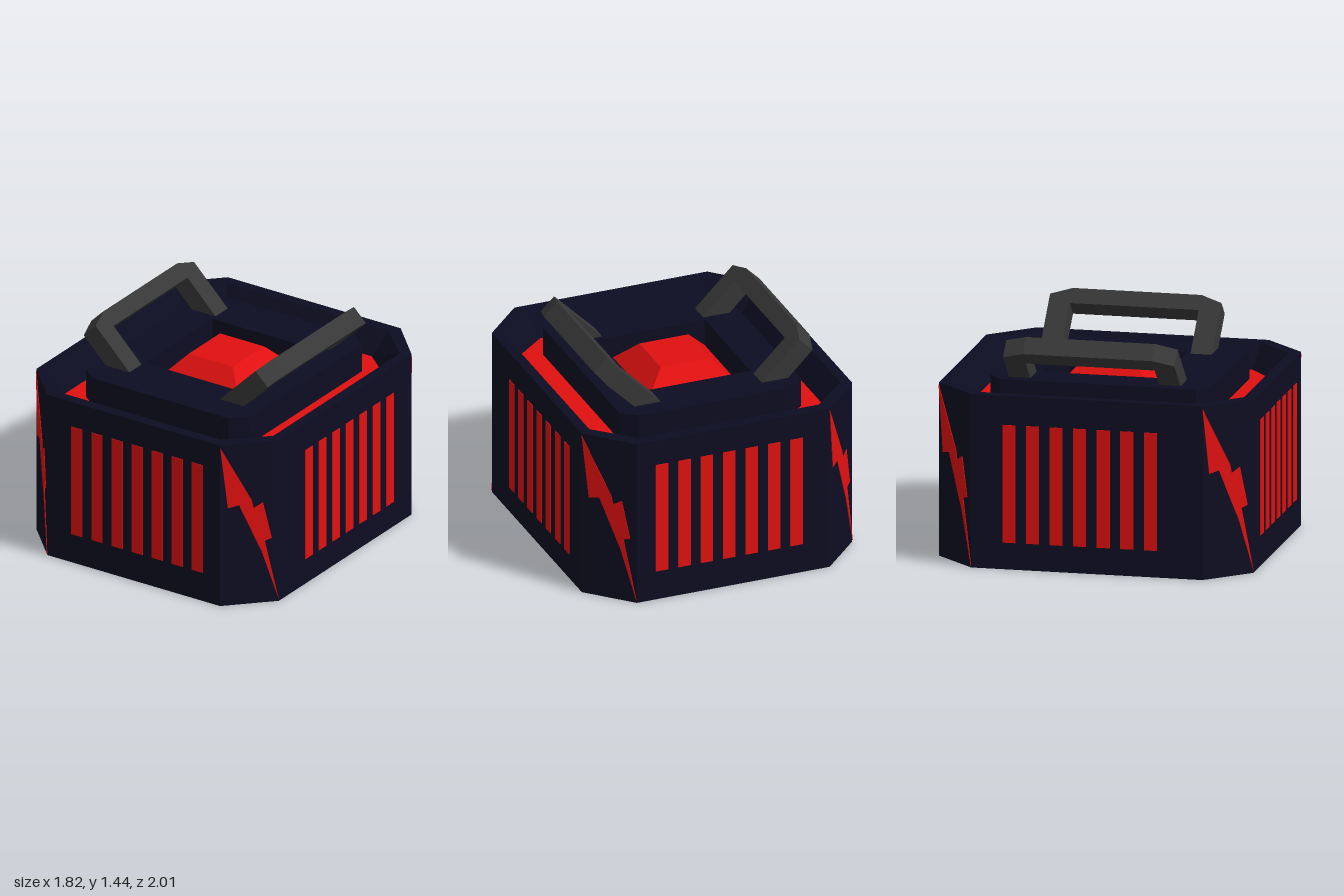
import * as THREE from 'three';

const mat = (name, color) => new THREE.MeshStandardMaterial({ name, color });

// Octagon outline with half extents ax, az and chamfers starting at cx, cz
const octagon = (ax, az, cx, cz) => [
  [-ax, cz], [-cx, az], [cx, az], [ax, cz], [ax, -cz], [cx, -az], [-cx, -az], [-ax, -cz]];

const rect = (x0, x1, z0, z1) => [[x0, z1], [x1, z1], [x1, z0], [x0, z0]];

// Flat-faced skin through rings of [outline, y], optionally closed at the ends
function loft(rings, capBottom, capTop) {
  const v = [];
  const p = (r, i) => {
    const [outline, y] = rings[r];
    const [x, z] = outline[i % outline.length];
    return [x, y, z];
  };
  const n = rings[0][0].length;
  for (let r = 0; r + 1 < rings.length; r++) {
    for (let i = 0; i < n; i++) {
      v.push(...p(r, i), ...p(r, i + 1), ...p(r + 1, i + 1));
      v.push(...p(r, i), ...p(r + 1, i + 1), ...p(r + 1, i));
    }
  }
  const last = rings.length - 1;
  for (let i = 1; i + 1 < n; i++) {
    if (capBottom) v.push(...p(0, 0), ...p(0, i + 1), ...p(0, i));
    if (capTop) v.push(...p(last, 0), ...p(last, i), ...p(last, i + 1));
  }
  const g = new THREE.BufferGeometry();
  g.setAttribute('position', new THREE.Float32BufferAttribute(v, 3));
  g.computeVertexNormals();
  return g;
}

const toShape = (pts) => new THREE.Shape(pts.map(([x, y]) => new THREE.Vector2(x, y)));
const extrude = (shape, depth) =>
  new THREE.ExtrudeGeometry(shape, { depth, bevelEnabled: false });

export function createModel() {
  const navy = mat('navy', 0x0d0d22);
  const red = mat('red', 0xe01010);
  const grey = mat('darkGrey', 0x373737);

  const model = new THREE.Group();
  model.name = 'case';
  const add = (name, geometry, material) => {
    const mesh = new THREE.Mesh(geometry, material);
    mesh.name = name;
    model.add(mesh);
    return mesh;
  };

  const FLOOR = 0.95, RIM = 1.105, DECK = 1.137;
  const outer = octagon(0.905, 1, 0.645, 0.735);
  const channel = octagon(0.74, 0.835, 0.54, 0.67);

  // Body shell, rim and sloped inner wall
  add('body', loft([
    [outer, 0], [outer, RIM], [octagon(0.84, 0.93, 0.6, 0.7), RIM], [channel, FLOOR],
  ], true, false), navy);

  // Red channel floor
  add('channelFloor', loft([[channel, FLOOR]], false, true), red);

  // Raised deck with a rectangular well
  const deckShape = toShape(octagon(0.608, 0.705, 0.508, 0.625).map(([x, z]) => [x, -z]));
  deckShape.holes.push(new THREE.Path(
    rect(-0.36, 0.36, -0.405, 0.345).map(([x, z]) => new THREE.Vector2(x, -z))));
  const deck = extrude(deckShape, DECK - FLOOR);
  deck.rotateX(-Math.PI / 2).translate(0, FLOOR, 0);
  add('deck', deck, navy);

  // Truncated pyramid button in the well
  add('button', loft([
    [rect(-0.36, 0.36, -0.4, 0.34), FLOOR + 0.01],
    [rect(-0.168, 0.16, -0.205, 0.14), 1.17],
  ], false, true), red);

  // Folded-out handles, extruded from a U outline and tilted 45 degrees
  const handle = (name, s, x0, length) => {
    const h = 0.545, arm = 0.41, bar = length - 0.11;
    const g = extrude(toShape([
      [-h, 0], [-arm, 0], [-arm, bar], [arm, bar], [arm, 0], [h, 0],
      [h, length - 0.05], [arm, length], [-arm, length], [-h, length - 0.05],
    ]), 0.125);
    const c = Math.SQRT1_2;
    const m = new THREE.Matrix4().makeBasis(
      new THREE.Vector3(0, 0, -s),
      new THREE.Vector3(s * c, c, 0),
      new THREE.Vector3(s * c, -c, 0));
    m.setPosition(s * x0, DECK - 0.003, -0.035);
    add(name, g.applyMatrix4(m), grey);
  };
  handle('leftHandle', 1, 0.31, 0.432);
  handle('rightHandle', -1, 0.36, 0.41);

  // Seven vertical vent stripes on every long side
  for (let i = -3; i <= 3; i++) {
    for (const s of [-1, 1]) {
      add('zVentStripe', new THREE.BoxGeometry(0.083, 0.74, 0.008), red)
        .position.set(0.027 + i * 0.15, 0.565, s);
      add('xVentStripe', new THREE.BoxGeometry(0.008, 0.75, 0.083), red)
        .position.set(s * 0.905, 0.545, -0.045 + i * 0.15);
    }
  }

  // Jagged zigzag plate on each chamfered corner
  const zigzag = [
    [0, 1.09], [0.13, 0.67], [0.32, 0.685], [0.65, 0.4], [0.76, 0.425], [1, 0.01],
    [0.76, 0.425], [0.88, 0.44], [0.73, 0.69], [0.57, 0.655], [0.54, 0.71],
  ];
  zigzag[4] = [0.7, 0.36];
  for (let i = 0; i < 8; i += 2) {
    const [ax, az] = outer[i], [bx, bz] = outer[i + 1];
    const along = new THREE.Vector3(bx - ax, 0, bz - az);
    const width = along.length();
    along.normalize();
    const up = new THREE.Vector3(0, 1, 0);
    const m = new THREE.Matrix4().makeBasis(along, up, along.clone().cross(up));
    m.setPosition(ax, 0, az);
    const g = extrude(toShape(zigzag.map(([u, y]) => [u * width, y])), 0.004);
    add('cornerZigzag', g.applyMatrix4(m), red);
  }

  return model;
}
